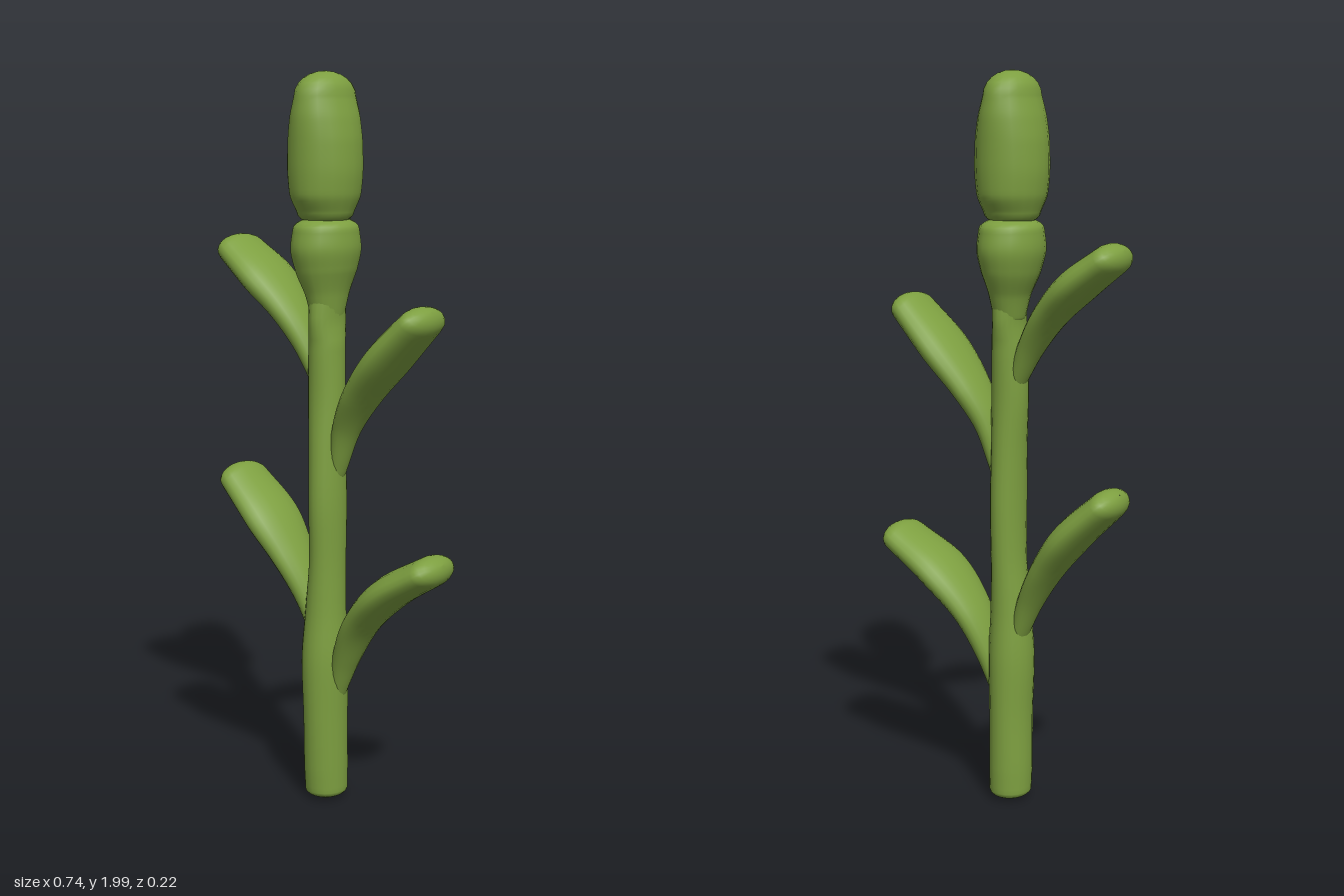
import * as THREE from 'three';

const SIDES = 20;

// Lofts elliptical rings along a spine in the xy plane with rounded ends.
// Each row: [x, y, z, half width in plane, half depth in z].
function loft(name, material, rows, capStart, capEnd, steps = 28) {
  const spine = new THREE.CatmullRomCurve3(rows.map(r => new THREE.Vector3(r[0], r[1], r[2])));
  const size = new THREE.CatmullRomCurve3(rows.map(r => new THREE.Vector3(r[3], r[4], 0)));
  const rings = [];
  const addRing = (t, shift, scale) => {
    const tan = spine.getTangent(t);
    const c = spine.getPoint(t).addScaledVector(tan, shift);
    const s = size.getPoint(t).multiplyScalar(scale);
    rings.push({ c, s, n: new THREE.Vector3(tan.y, -tan.x, 0).normalize() });
  };
  const CAP = 6;
  for (let i = CAP; i > 0; i--) {
    const a = (i / CAP) * Math.PI / 2;
    addRing(0, -capStart * Math.sin(a), Math.max(Math.cos(a), 0.004));
  }
  for (let i = 0; i <= steps; i++) addRing(i / steps, 0, 1);
  for (let i = 1; i <= CAP; i++) {
    const a = (i / CAP) * Math.PI / 2;
    addRing(1, capEnd * Math.sin(a), Math.max(Math.cos(a), 0.004));
  }

  const pos = [], index = [];
  rings.forEach(({ c, s, n }, i) => {
    for (let j = 0; j < SIDES; j++) {
      const a = (j / SIDES) * Math.PI * 2;
      const u = Math.cos(a) * s.x, v = Math.sin(a) * s.y;
      pos.push(c.x + n.x * u, c.y + n.y * u, c.z + v);
      if (i < rings.length - 1) {
        const k = (j + 1) % SIDES, p = i * SIDES, q = p + SIDES;
        index.push(p + j, q + j, p + k, q + j, q + k, p + k);
      }
    }
  });
  const geo = new THREE.BufferGeometry();
  geo.setAttribute('position', new THREE.Float32BufferAttribute(pos, 3));
  geo.setIndex(index);
  geo.computeVertexNormals();
  const mesh = new THREE.Mesh(geo, material);
  mesh.name = name;
  return mesh;
}

export function createModel() {
  const group = new THREE.Group();
  group.name = 'buddingPlant';
  const green = new THREE.MeshStandardMaterial({ color: 0x7d9f40 });
  green.name = 'leaf green';

  // Slightly wavy stem
  group.add(loft('stem', green, [
    [-0.026, 0.03, 0.008, 0.058, 0.062],
    [-0.026, 0.10, 0.010, 0.059, 0.065],
    [-0.024, 0.25, 0.014, 0.058, 0.068],
    [-0.024, 0.40, 0.016, 0.062, 0.070],
    [-0.022, 0.55, 0.015, 0.054, 0.060],
    [-0.016, 0.70, 0.014, 0.046, 0.058],
    [-0.014, 0.85, 0.016, 0.046, 0.062],
    [-0.017, 1.00, 0.014, 0.046, 0.058],
    [-0.022, 1.15, 0.010, 0.050, 0.052],
    [-0.022, 1.30, 0.008, 0.046, 0.056],
    [-0.024, 1.45, 0.004, 0.046, 0.056],
  ], 0.025, 0.02, 50));

  // Cup under the bud
  group.add(loft('budCup', green, [
    [-0.024, 1.36, 0.004, 0.040, 0.052],
    [-0.026, 1.42, 0.002, 0.052, 0.070],
    [-0.030, 1.48, 0.000, 0.074, 0.095],
    [-0.032, 1.54, 0.000, 0.086, 0.108],
    [-0.032, 1.59, 0.000, 0.082, 0.100],
  ], 0.02, 0.035));

  // Closed bud: tapered from the front, blunt from the side
  group.add(loft('bud', green, [
    [-0.033, 1.635, 0.002, 0.074, 0.080],
    [-0.033, 1.68, 0.002, 0.090, 0.103],
    [-0.033, 1.75, 0.002, 0.096, 0.108],
    [-0.033, 1.82, 0.002, 0.093, 0.109],
    [-0.033, 1.88, 0.002, 0.083, 0.108],
    [-0.033, 1.935, 0.002, 0.067, 0.100],
  ], 0.035, 0.065));

  // Leaves: spine points from root to tip, all sharing one width profile
  const profile = [[0.022, 0.030], [0.033, 0.050], [0.040, 0.078], [0.047, 0.101], [0.043, 0.088]];
  const leaves = {
    upperRightLeaf: [[-0.045, 1.18], [-0.09, 1.28], [-0.15, 1.37], [-0.235, 1.455], [-0.325, 1.522]],
    upperLeftLeaf: [[0.015, 0.95], [0.045, 1.06], [0.095, 1.15], [0.19, 1.265], [0.287, 1.362]],
    lowerRightLeaf: [[-0.05, 0.47], [-0.09, 0.58], [-0.145, 0.68], [-0.225, 0.785], [-0.326, 0.880]],
    lowerLeftLeaf: [[0.018, 0.33], [0.045, 0.42], [0.10, 0.53], [0.20, 0.635], [0.325, 0.712]],
  };
  for (const [name, spine] of Object.entries(leaves)) {
    const rows = spine.map(([x, y], i) => [x, y, 0.007, ...profile[i]]);
    group.add(loft(name, green, rows, 0.05, 0.046));
  }
  return group;
}
